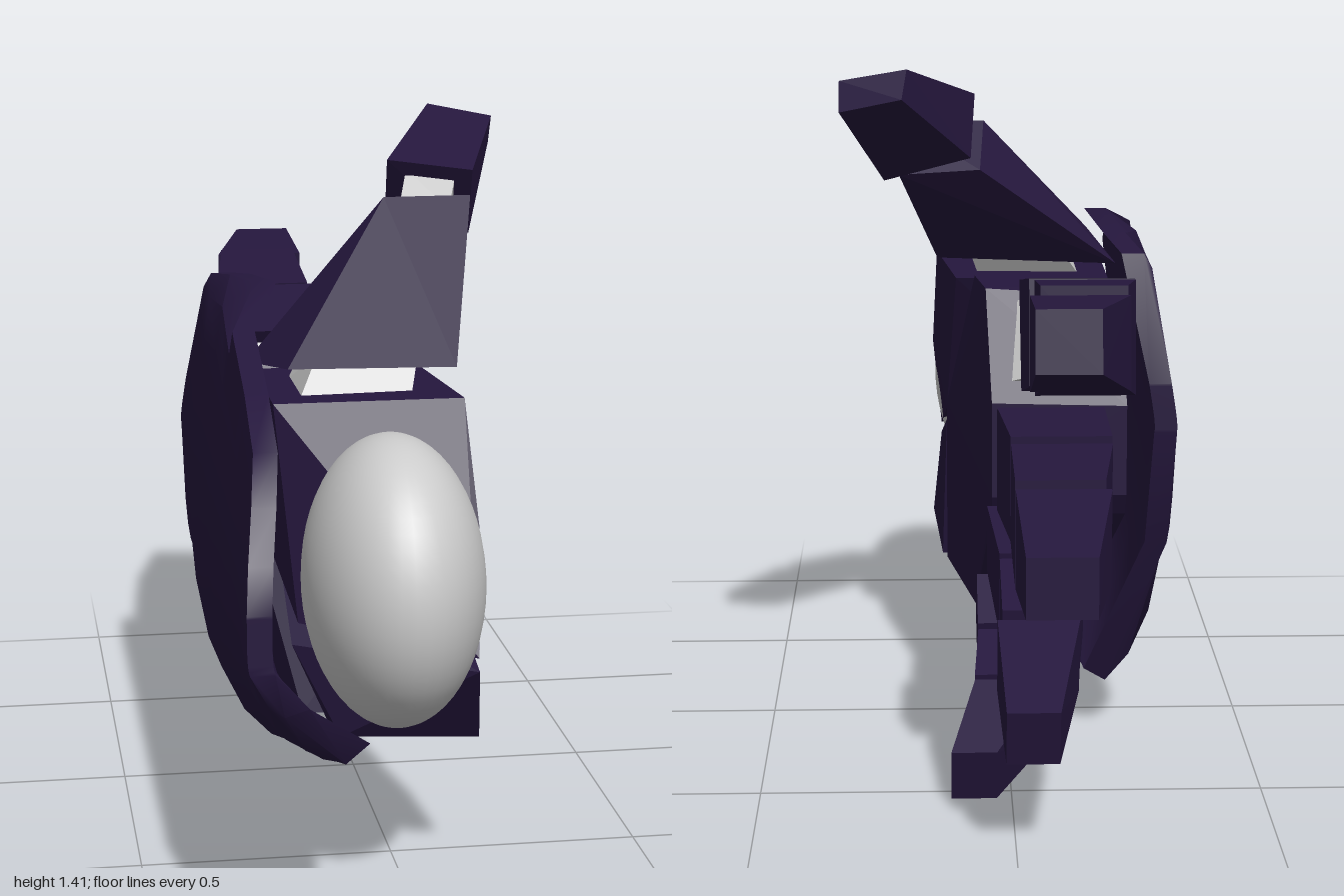
import * as THREE from 'three';
import { toCreasedNormals } from 'three/addons/utils/BufferGeometryUtils.js';
import { ConvexGeometry } from 'three/addons/geometries/ConvexGeometry.js';

const armour = new THREE.MeshStandardMaterial({ color: 0x25173d });
const metal = new THREE.MeshStandardMaterial({ color: 0xcccccc });

const V = (x, y, z) => new THREE.Vector3(x, y, z);

function mesh(name, geometry, material) {
  const m = new THREE.Mesh(geometry, material);
  m.name = name;
  return m;
}

// faceted solid around a handful of [x, y, z] corners
function solid(name, points, material = armour) {
  return mesh(name, new ConvexGeometry(points.map((p) => V(...p))), material);
}

// metal link between two four-cornered faces, narrower than both
function link(name, faceA, faceB, size = 0.58) {
  const shrink = (face, other) => {
    const mid = (f) => f.reduce((s, p) => s.add(V(...p)), V(0, 0, 0)).divideScalar(f.length);
    const c = mid(face), push = mid(other).sub(c).normalize().multiplyScalar(-0.02);
    return face.map((p) => V(...p).sub(c).multiplyScalar(size).add(c).add(push).toArray());
  };
  return solid(name, [...shrink(faceA, faceB), ...shrink(faceB, faceA)], metal);
}

// face across a finger: top [z, y], bottom [z, y], and its x range
const face = (top, bottom, [x0, x1]) => [
  [x0, top[1], top[0]], [x1, top[1], top[0]], [x1, bottom[1], bottom[0]], [x0, bottom[1], bottom[0]],
];

// each segment: top base, top end, bottom end, bottom base as [z, y]; x range at base and end
const FINGERS = {
  indexFinger: {
    knuckle: face([-0.04, 0.93], [-0.16, 0.74], [-0.22, 0.02]),
    segments: [
      [[-0.06, 0.96], [-0.34, 1.01], [-0.38, 0.8], [-0.19, 0.75], [-0.25, -0.03], [-0.25, -0.04]],
      [[-0.355, 1.01], [-0.62, 1.045], [-0.64, 0.85], [-0.395, 0.785], [-0.25, -0.05], [-0.215, -0.05]],
      [[-0.64, 1.03], [-0.89, 1.05], [-0.91, 0.935], [-0.66, 0.85], [-0.22, -0.03], [-0.15, -0.03]],
    ],
  },
  middleFinger: {
    knuckle: face([-0.15, 0.71], [-0.15, 0.52], [-0.2, 0.01]),
    segments: [
      [[-0.21, 0.72], [-0.45, 0.715], [-0.44, 0.5], [-0.2, 0.5], [-0.2, 0.02], [-0.2, 0]],
      [[-0.47, 0.705], [-0.72, 0.695], [-0.72, 0.49], [-0.455, 0.5], [-0.2, 0], [-0.17, 0]],
      [[-0.75, 0.685], [-1, 0.625], [-1, 0.51], [-0.735, 0.49], [-0.18, 0], [-0.14, -0.01]],
    ],
  },
  ringFinger: {
    knuckle: face([-0.13, 0.47], [-0.02, 0.34], [-0.16, 0.03]),
    segments: [
      [[-0.165, 0.5], [-0.37, 0.455], [-0.33, 0.28], [-0.12, 0.35], [-0.16, 0.04], [-0.15, 0.02]],
      [[-0.39, 0.45], [-0.58, 0.4], [-0.55, 0.235], [-0.35, 0.28], [-0.15, 0.02], [-0.13, 0.02]],
      [[-0.61, 0.39], [-0.88, 0.295], [-0.85, 0.185], [-0.575, 0.235], [-0.13, 0.03], [-0.08, 0.02]],
    ],
  },
  littleFinger: {
    knuckle: face([0.0, 0.32], [0.1, 0.23], [-0.13, 0.05]),
    segments: [
      [[-0.05, 0.32], [-0.18, 0.25], [-0.14, 0.11], [0.08, 0.21], [-0.14, 0.06], [-0.11, 0.06]],
      [[-0.22, 0.25], [-0.37, 0.2], [-0.33, 0.05], [-0.17, 0.12], [-0.1, 0.06], [-0.1, 0.07]],
      [[-0.4, 0.2], [-0.58, 0.11], [-0.54, 0], [-0.35, 0.05], [-0.08, 0.07], [0.03, 0.12]],
    ],
  },
};

function finger(name, { knuckle, segments }) {
  const group = new THREE.Group();
  group.name = name;
  let previous = knuckle;
  segments.forEach(([topBase, topEnd, bottomEnd, bottomBase, xBase, xEnd], i) => {
    const base = face(topBase, bottomBase, xBase);
    const end = face(topEnd, bottomEnd, xEnd);
    group.add(link(`${name}Joint${i + 1}`, previous, base, i === 0 ? 0.75 : 0.58));
    group.add(solid(`${name}Segment${i + 1}`, [...base, ...end]));
    previous = end;
  });
  return group;
}

// thin curved plate over the back of the hand, lofted from wrist to knuckles
function backShell() {
  const heights = [0, 0.06, 0.16, 0.3, 0.45, 0.65, 0.85, 0.95, 1];
  const hem = [1, 0.62, 0.3, 0.1, 0.02, 0, 0, 0, 0];
  // the upper part leans in towards the palm with height
  const lean = (y) => Math.max(0, y - 0.7) * 0.16 + Math.max(0, y - 1.04) * 1.2;
  // z, bottom y, top y, x of the bottom hem
  const sections = [
    [1, 0.55, 0.66, -0.335], [0.97, 0.46, 0.74, -0.27], [0.9, 0.34, 0.83, -0.15], [0.82, 0.315, 0.91, -0.15],
    [0.6, 0.24, 0.97, -0.15], [0.3, 0.16, 1.03, -0.15], [0.08, 0.11, 1.09, -0.19], [-0.14, 0.11, 1.07, -0.21],
    [-0.28, 0.45, 1.05, -0.325], [-0.36, 0.7, 0.8, -0.335],
  ];
  const positions = [], index = [];
  const n = heights.length, ring = n * 2;
  for (const [z, y0, y1, hemX] of sections) {
    const curl = hemX + 0.34;
    const point = (j, inner) => {
      const y = y0 + (y1 - y0) * heights[j];
      const x = -0.34 + curl * hem[j] + lean(y);
      positions.push(x + (inner ? 0.045 : 0), y + (inner ? curl * 0.2 * hem[j] : 0), z);
    };
    for (let j = 0; j < n; j++) point(j, false);
    for (let j = n - 1; j >= 0; j--) point(j, true);
  }
  const quad = (a, b, c, d) => index.push(a, b, c, a, c, d);
  for (let i = 0; i < sections.length - 1; i++) {
    for (let j = 0; j < ring; j++) {
      const k = (j + 1) % ring, a = i * ring, b = a + ring;
      quad(a + j, a + k, b + k, b + j);
    }
  }
  const last = (sections.length - 1) * ring;
  for (let j = 0; j < n - 1; j++) {
    quad(j, ring - 1 - j, ring - 2 - j, j + 1);
    quad(last + j, last + j + 1, last + ring - 2 - j, last + ring - 1 - j);
  }
  const geometry = new THREE.BufferGeometry();
  geometry.setAttribute('position', new THREE.Float32BufferAttribute(positions, 3));
  geometry.setIndex(index);
  return mesh('backShell', toCreasedNormals(geometry, 0.75), armour);
}

function thumb() {
  const group = new THREE.Group();
  group.name = 'thumb';
  const root = [[-0.17, 0.92, 0.43], [0.05, 0.92, 0.43], [0.05, 0.92, 0.24], [-0.17, 0.92, 0.24]];
  const rootTop = [[-0.13, 1, 0.39], [0.07, 1, 0.39], [0.07, 0.98, 0.2], [-0.13, 0.98, 0.2]];
  const lower = [[-0.2, 0.99, 0.48], [0.13, 0.985, 0.48], [0.14, 0.965, 0.2], [-0.25, 0.95, 0.2]];
  const upper = [[0.04, 1.27, 0.145], [0.22, 1.27, 0.14], [0.22, 1.17, 0.02], [0.05, 1.18, 0.02]];
  const tipBase = [[0.06, 1.335, 0.065], [0.24, 1.31, 0.06], [0.25, 1.165, -0.03], [0.07, 1.21, -0.02]];
  const tipEnd = [[0.2, 1.415, -0.25], [0.335, 1.39, -0.22], [0.335, 1.33, -0.25], [0.21, 1.36, -0.3]];
  group.add(
    solid('thumbRootJoint', [...root, ...rootTop], metal),
    solid('thumbBase', [...lower, ...upper]),
    link('thumbJoint', upper, tipBase),
    solid('thumbTip', [...tipBase, ...tipEnd]),
  );
  return group;
}

export function createModel() {
  const hand = new THREE.Group();
  hand.name = 'hand';
  hand.add(backShell(), thumb());

  // wrist ball
  const ball = mesh('wristBall', new THREE.SphereGeometry(1, 40, 28), metal);
  ball.scale.set(0.172, 0.28, 0.27);
  ball.position.set(-0.027, 0.62, 0.675);
  hand.add(ball);

  // palm slab: outline as [z, y, palm-side x, back x]
  const palm = [
    [0.11, 0.94, 0.06, -0.24], [-0.05, 0.94, 0.04, -0.24], [-0.17, 0.72, 0.03, -0.25], [-0.17, 0.52, 0.03, -0.25],
    [-0.14, 0.47, 0.03, -0.25], [0.1, 0.21, 0.06, -0.18], [0.37, 0.24, 0.12, -0.16], [0.305, 0.62, 0.12, -0.25],
  ];
  hand.add(solid('palm', palm.flatMap(([z, y, x, back]) => [[x, y, z], [back, 0.58 + (y - 0.58) * 0.95, z]])));

  // thumb-side and little-finger-side pads at the heel of the hand
  hand.add(solid('thumbPad', [
    [0.14, 0.93, 0.51], [0.1, 0.93, 0.14], [0.12, 0.6, 0.33], [0.13, 0.475, 0.735], [0.15, 0.7, 0.62],
    [-0.23, 0.925, 0.49], [-0.23, 0.925, 0.16], [-0.22, 0.6, 0.33], [-0.19, 0.5, 0.54],
  ]));
  hand.add(solid('heelPad', [
    [0.13, 0.45, 0.74], [0.12, 0.575, 0.325], [0.13, 0.24, 0.405], [0.15, 0.285, 0.64],
    [-0.2, 0.45, 0.52], [-0.2, 0.57, 0.335], [-0.11, 0.24, 0.405], [-0.11, 0.27, 0.56],
  ]));

  // metal core showing through the seams
  const core = [[0.88, 0.15, 0.03], [0.88, 0.4, 0.06], [0.48, 0.6, 0.08], [0.32, 0.5, 0.08], [0.29, 0.3, 0.08], [0.6, 0.2, 0.03]];
  hand.add(solid('palmCore', core.flatMap(([y, z, x]) => [[x, y, z], [-0.1, y, z]]), metal));

  for (const [name, spec] of Object.entries(FINGERS)) hand.add(finger(name, spec));
  return hand;
}
